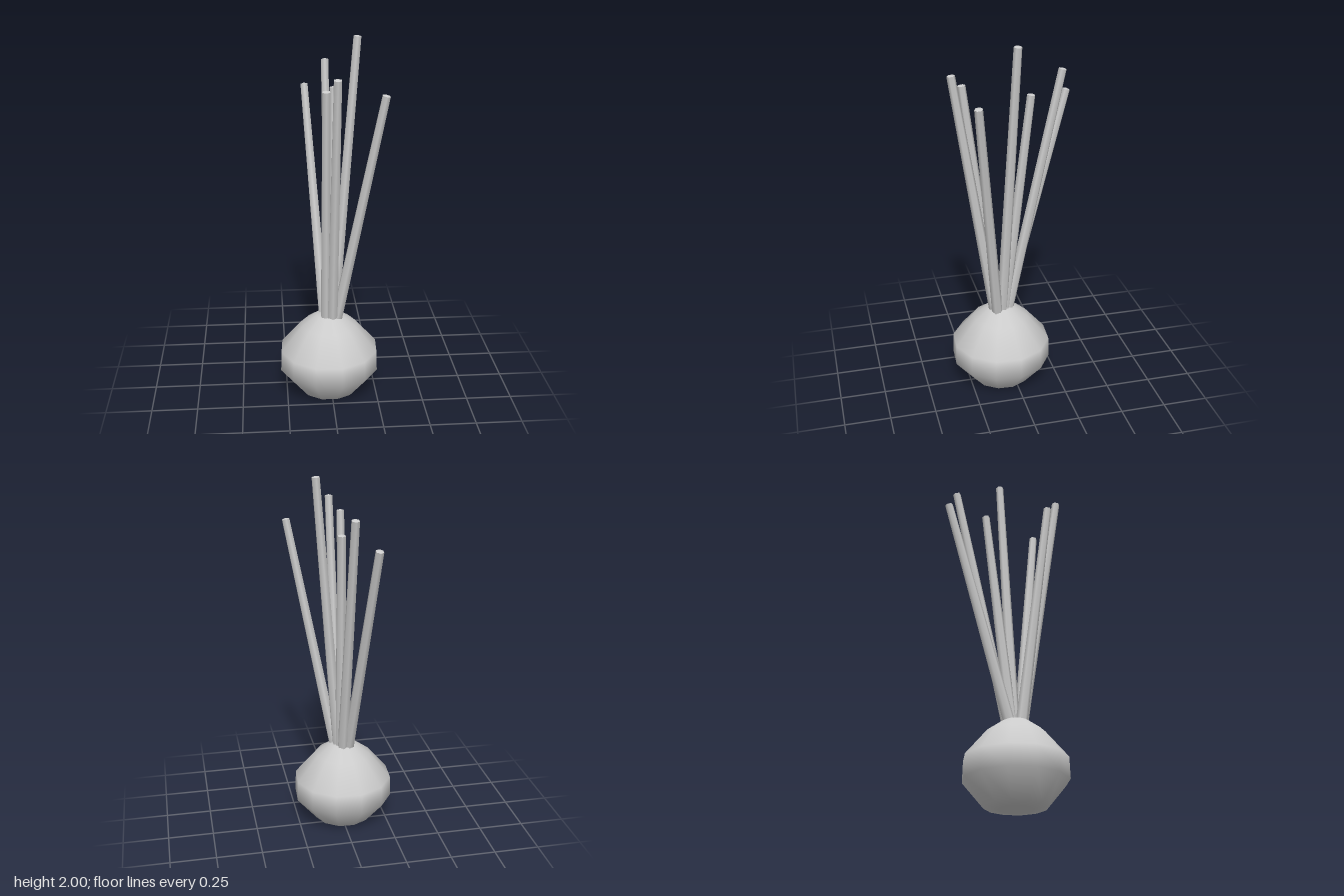
import * as THREE from 'three';

const material = new THREE.MeshStandardMaterial({ color: 0xcccccc });

// Rounded low-poly bulb, slightly off the centre of the whole plant
function createBulb() {
  const profile = [
    [0, 0], [0.09, 0.004], [0.165, 0.014], [0.278, 0.15],
    [0.274, 0.265], [0.155, 0.405], [0.07, 0.465], [0, 0.475],
  ].map(([r, y]) => new THREE.Vector2(r, y));
  const bulb = new THREE.Mesh(new THREE.LatheGeometry(profile, 12, 0.2), material);
  bulb.name = 'bulb';
  bulb.position.set(-0.012, 0, 0.067);
  return bulb;
}

// Tapered six-sided leaf stalk with a shallow domed tip
function createStalk(base, tip) {
  const from = new THREE.Vector3(...base);
  const to = new THREE.Vector3(...tip);
  const length = from.distanceTo(to);
  const stalk = new THREE.Group();
  stalk.name = 'stalk';

  const stem = new THREE.Mesh(new THREE.CylinderGeometry(0.022, 0.031, length, 6, 1), material);
  stem.name = 'stem';
  stem.position.y = length / 2;

  const cap = new THREE.Mesh(new THREE.ConeGeometry(0.022, 0.006, 6, 1, true), material);
  cap.name = 'stemTip';
  cap.position.y = length + 0.003;

  stalk.add(stem, cap);
  stalk.position.copy(from);
  stalk.quaternion.setFromUnitVectors(new THREE.Vector3(0, 1, 0), to.sub(from).normalize());
  return stalk;
}

export function createModel() {
  const model = new THREE.Group();
  model.name = 'sproutingBulb';
  model.add(createBulb());

  // Stalks fan out from the crown: [base, tip]
  const stalks = [
    [[-0.038, 0.45, 0.03], [-0.12, 1.68, -0.322]],
    [[-0.005, 0.45, 0.025], [-0.01, 1.825, -0.267]],
    [[0.005, 0.45, 0.05], [0.024, 1.71, -0.092]],
    [[0.015, 0.45, 0.065], [0.138, 1.993, 0.007]],
    [[0.03, 0.45, 0.095], [0.263, 1.735, 0.233]],
    [[-0.03, 0.45, 0.095], [-0.038, 1.765, 0.258]],
    [[0.005, 0.45, 0.105], [0.014, 1.835, 0.32]],
  ];
  for (const [base, tip] of stalks) model.add(createStalk(base, tip));
  return model;
}
